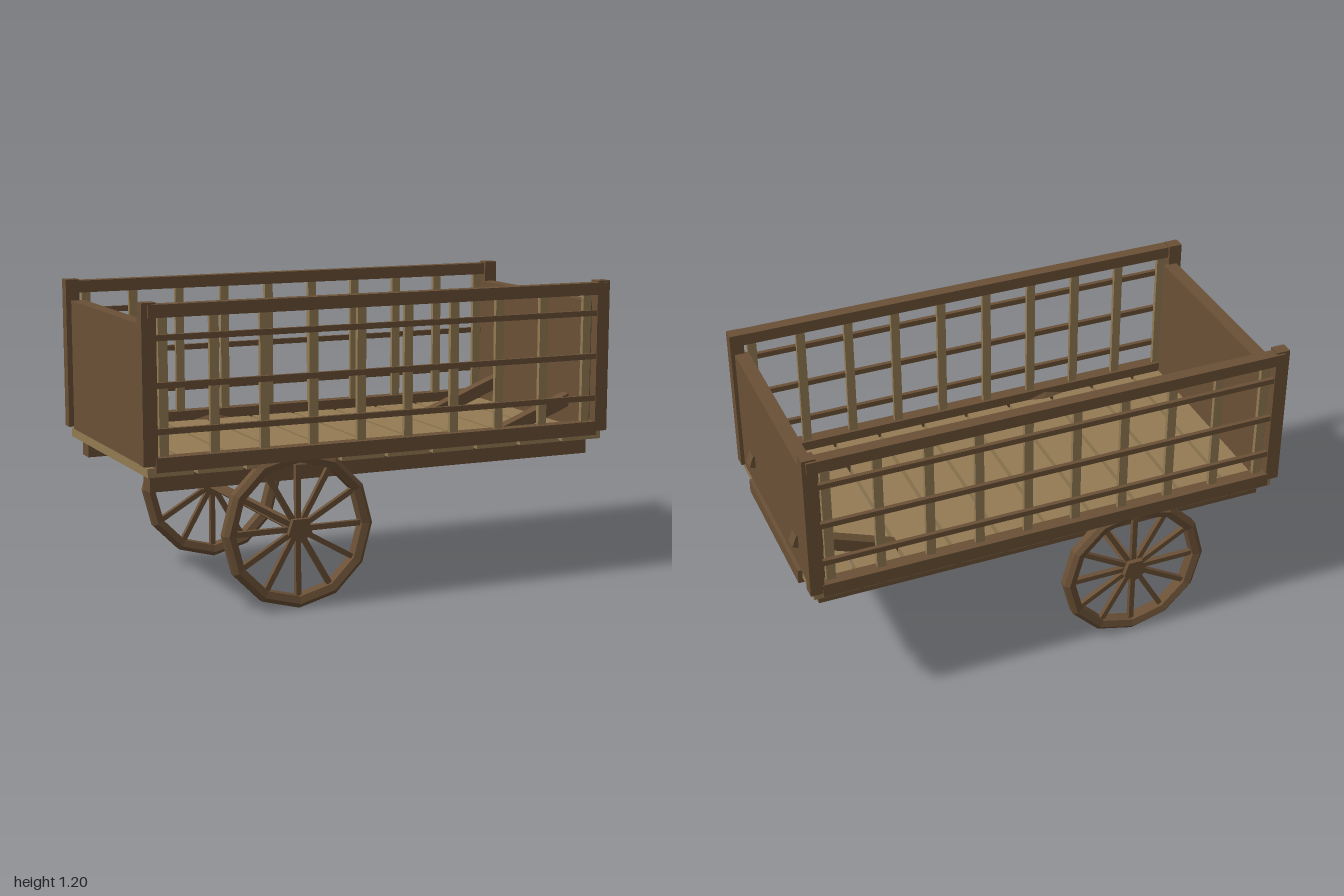
import * as THREE from 'three';

export function createModel() {
  const cart = new THREE.Group();
  cart.name = 'cart';

  const darkWood = new THREE.MeshStandardMaterial({ color: 0x6a5036, flatShading: true });
  darkWood.name = 'dark wood';
  const paleWood = new THREE.MeshStandardMaterial({ color: 0x937b53, flatShading: true });
  paleWood.name = 'pale wood';

  function add(name, geometry, material, parent = cart) {
    const mesh = new THREE.Mesh(geometry, material);
    mesh.name = name;
    parent.add(mesh);
    return mesh;
  }

  // Box given by its limits on each axis
  function box(name, material, x0, x1, y0, y1, z0, z1, parent = cart) {
    const mesh = add(name, new THREE.BoxGeometry(x1 - x0, y1 - y0, z1 - z0), material, parent);
    mesh.position.set((x0 + x1) / 2, (y0 + y1) / 2, (z0 + z1) / 2);
    return mesh;
  }

  // Floor planks
  for (let i = 0; i < 10; i++) {
    const x = -0.887 + i * 0.1955;
    box('floorPlank', paleWood, x - 0.09, x + 0.09, 0.565, 0.6, -0.47, 0.47);
  }

  // Cross beams under the floor and the sill at the tail
  for (const x of [0.87, 0.37, -0.13, -0.63]) {
    box('crossBeam', darkWood, x - 0.04, x + 0.04, 0.5, 0.566, -0.345, 0.345);
  }
  box('tailSill', darkWood, 0.91, 0.98, 0.545, 0.603, -0.325, 0.325);

  // End boards
  box('headBoard', darkWood, -0.977, -0.92, 0.6, 1.125, -0.445, 0.445);
  box('tailBoard', darkWood, 0.908, 0.965, 0.6, 1.125, -0.445, 0.445);

  // Wheel lying around the z axis: faceted rim, spokes and hub
  function addWheel(side) {
    const wheel = new THREE.Group();
    wheel.name = side > 0 ? 'frontWheel' : 'backWheel';
    const section = [[0.262, -0.024], [0.29, -0.031], [0.308, -0.016], [0.308, 0.016],
      [0.29, 0.031], [0.262, 0.024], [0.262, -0.024]];
    const rim = new THREE.LatheGeometry(section.map(([r, h]) => new THREE.Vector2(r, h)), 12);
    rim.rotateX(Math.PI / 2);
    add('rim', rim, darkWood, wheel);
    for (let i = 0; i < 12; i++) {
      const spoke = new THREE.BoxGeometry(0.24, 0.021, 0.021);
      spoke.translate(0.155, 0, 0);
      spoke.rotateZ((i * Math.PI) / 6);
      add('spoke', spoke, darkWood, wheel);
    }
    const hub = new THREE.CylinderGeometry(0.052, 0.052, 0.062, 5);
    hub.rotateX(Math.PI / 2);
    add('hub', hub, darkWood, wheel);
    wheel.position.set(-0.375, 0.315, side * 0.455);
    cart.add(wheel);
  }

  // Both long sides
  for (const side of [-1, 1]) {
    const wall = new THREE.Group();
    wall.name = side > 0 ? 'frontSide' : 'backSide';
    cart.add(wall);
    const part = (name, material, x0, x1, y0, y1, zIn, zOut) =>
      box(name, material, x0, x1, y0, y1,
        Math.min(side * zIn, side * zOut), Math.max(side * zIn, side * zOut), wall);

    part('longBeam', darkWood, -0.95, 0.93, 0.497, 0.567, 0.34, 0.413);
    part('bottomRail', darkWood, -0.95, 0.93, 0.585, 0.64, 0.438, 0.492);
    part('topRail', darkWood, -0.975, 0.965, 1.155, 1.203, 0.448, 0.497);
    part('cornerPost', darkWood, -0.998, -0.942, 0.61, 1.21, 0.438, 0.488);
    part('cornerPost', darkWood, 0.925, 0.98, 0.6, 1.21, 0.438, 0.488);

    // Lattice
    for (let i = 0; i < 10; i++) {
      const x = -0.91 + i * 0.2;
      part('uprightSlat', paleWood, x - 0.018, x + 0.018, 0.6, 1.16, 0.449, 0.467);
    }
    for (const y of [0.735, 0.905, 1.08]) {
      part('lattice', darkWood, -0.945, 0.93, y - 0.011, y + 0.011, 0.466, 0.484);
    }

    // Sloping brace that pokes through the tail board
    const brace = add('tailBrace', new THREE.BoxGeometry(0.44, 0.05, 0.05), darkWood, wall);
    brace.position.set(0.775, 0.652, side * 0.284);
    brace.rotation.z = 0.365;

    addWheel(side);
  }

  // Axle
  const axle = new THREE.CylinderGeometry(0.023, 0.023, 0.85, 5);
  axle.rotateX(Math.PI / 2);
  add('axle', axle, darkWood).position.set(-0.375, 0.315, 0);

  return cart;
}
